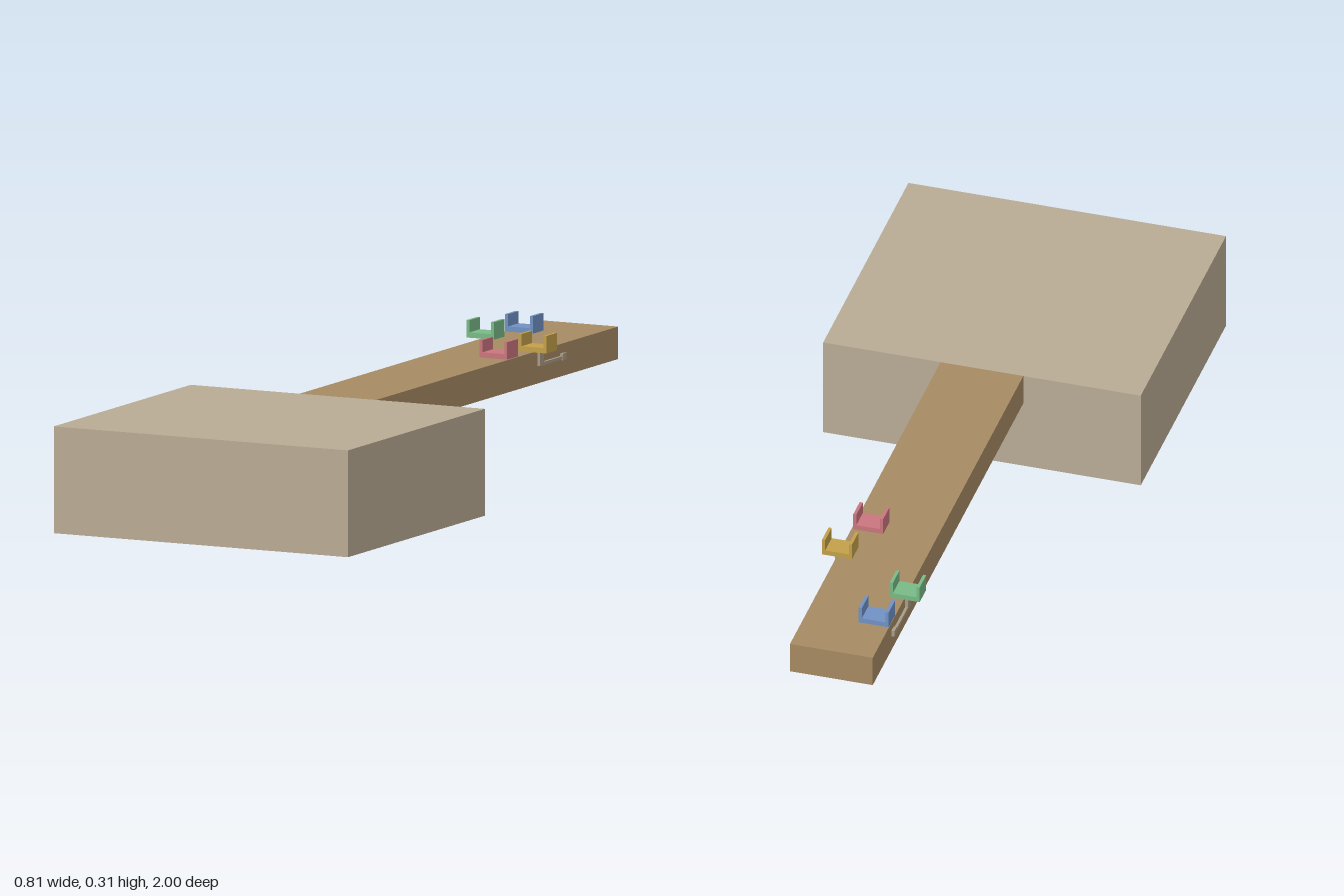
import * as THREE from 'three';

const material = (name, color) => {
  const m = new THREE.MeshStandardMaterial({ color });
  m.name = name;
  return m;
};

// Box given by its lower and upper limits on each axis
function box(name, mat, [x0, x1], [y0, y1], [z0, z1]) {
  const mesh = new THREE.Mesh(new THREE.BoxGeometry(x1 - x0, y1 - y0, z1 - z0), mat);
  mesh.position.set((x0 + x1) / 2, (y0 + y1) / 2, (z0 + z1) / 2);
  mesh.name = name;
  return mesh;
}

// U-shaped channel, open at the top, running along z
function channel(name, mat, x, y, z) {
  const w = 0.038, h = 0.043, t = 0.008, floor = 0.013, depth = 0.056;
  const shape = new THREE.Shape([
    [-w, 0], [w, 0], [w, h], [w - t, h], [w - t, floor],
    [t - w, floor], [t - w, h], [-w, h],
  ].map(([px, py]) => new THREE.Vector2(px, py)));
  const geometry = new THREE.ExtrudeGeometry(shape, { depth, bevelEnabled: false });
  geometry.translate(0, 0, -depth / 2);
  const mesh = new THREE.Mesh(geometry, mat);
  mesh.position.set(x, y, z);
  mesh.name = name;
  return mesh;
}

// Small lever on a side of the beam: stub, rod running back, raised tip
function lever(name, mat, side, z) {
  const group = new THREE.Group();
  group.name = name;
  const xs = (a, b) => (side > 0 ? [a, b] : [-b, -a]);
  group.add(
    box('leverStub', mat, xs(0.104, 0.112), [0.226, 0.264], [z - 0.02, z]),
    box('leverRod', mat, xs(0.104, 0.112), [0.226, 0.234], [z - 0.13, z - 0.02]),
    box('leverTip', mat, xs(0.104, 0.113), [0.224, 0.24], [z - 0.137, z - 0.118]),
  );
  return group;
}

export function createModel() {
  const model = new THREE.Group();
  model.name = 'blockWithBeam';
  const stone = material('stone', 0xb9ab95);
  const wood = material('wood', 0xa68a63);
  const metal = material('metal', 0xa89c86);
  const top = 0.263;

  // Heavy block and the beam reaching back from it
  model.add(
    box('block', stone, [-0.403, 0.403], [0, top], [0.277, 1]),
    box('beam', wood, [-0.105, 0.105], [0.183, top], [-1, 0.277]),
  );

  // Four coloured channels on the beam
  [
    ['redChannel', 0xc9757d, 0.063, -0.45],
    ['goldChannel', 0xc2a04a, 0.104, -0.577],
    ['greenChannel', 0x78ba86, -0.107, -0.708],
    ['blueChannel', 0x7092c5, -0.066, -0.834],
  ].forEach(([name, color, x, z]) => model.add(channel(name, material(name, color), x, top, z)));

  // One lever under each overhanging channel
  model.add(lever('leftLever', metal, 1, -0.574), lever('rightLever', metal, -1, -0.705));
  return model;
}
